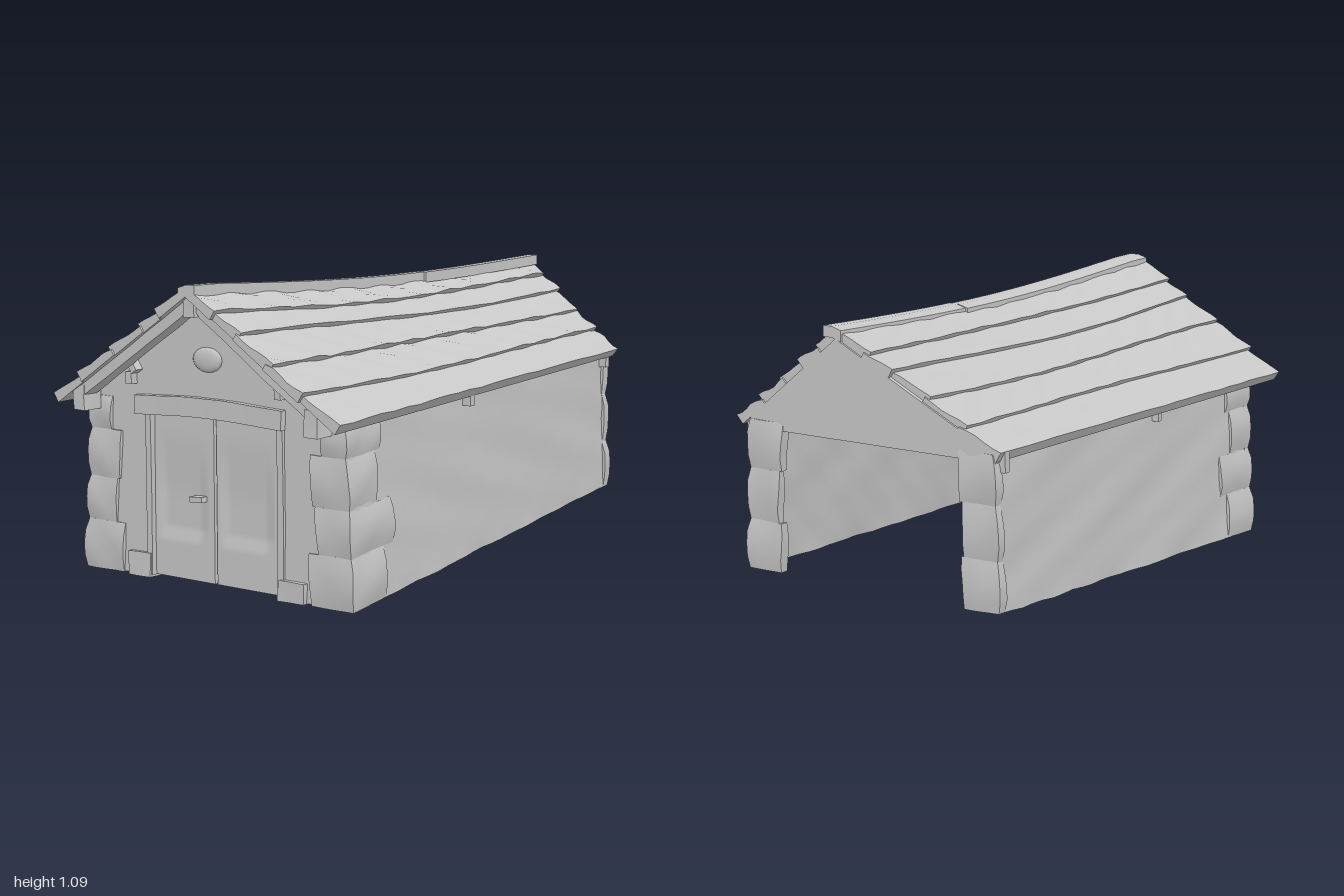
import * as THREE from 'three';

const stone = new THREE.MeshStandardMaterial({ color: 0xc8c8c8 });
stone.name = 'pale grey';

const lerp = (a, b, t) => a + (b - a) * t;
const back = z => (0.88 - z) / 1.87; // 0 at the front, 1 at the back
const wave = (a, b, c) => Math.sin(a * 17 + b * 9 + 1) * Math.sin(b * 23 - c * 8) + 0.6 * Math.sin(c * 29 + a * 13 + b * 31);

// Outline rules for the leaning, tapering building
const baseY = z => lerp(0.01, 0.17, back(z));
const topY = z => lerp(0.67, 0.73, back(z));
const outerX = (s, v, z) => s > 0
  ? lerp(lerp(0.635, 0.595, v), lerp(0.55, 0.53, v), back(z))
  : -lerp(lerp(0.605, 0.565, v), lerp(0.51, 0.49, v), back(z));

// Point on a roof slope: a = 0 at the ridge, 1 at the eave, lifted off the deck
function roofPoint(s, a, z, lift) {
  const t = back(z);
  const rx = lerp(0, 0.15, t), ry = 1.075 - 0.03 * Math.sin(Math.PI * Math.min(1, Math.max(0, t)));
  const ex = s > 0 ? lerp(0.635, 0.575, t) : -lerp(0.645, 0.505, t);
  const ey = lerp(0.65, 0.715, t);
  const dx = ex - rx, dy = ey - ry, len = Math.hypot(dx, dy);
  return new THREE.Vector3(rx + dx * a - s * dy / len * lift, ry + dy * a + s * dx / len * lift, z);
}

// Subdivided box whose unit coordinates (u, v, w) are mapped by a rule
function warpBox(parent, name, [nx, ny, nz], rule, rough = 0) {
  const g = new THREE.BoxGeometry(1, 1, 1, nx, ny, nz);
  const p = g.attributes.position, idx = g.index;
  for (let i = 0; i < p.count; i++) {
    const q = rule(p.getX(i) + 0.5, p.getY(i) + 0.5, p.getZ(i) + 0.5);
    const { x, y, z } = q;
    p.setXYZ(i, x + rough * wave(x, y, z), y + rough * 0.5 * wave(y, z, x), z + rough * wave(z, x, y));
  }
  // turn the faces outward if the rule mirrored the box
  let vol = 0;
  const a = new THREE.Vector3(), b = new THREE.Vector3(), c = new THREE.Vector3();
  for (let i = 0; i < idx.count; i += 3) {
    [a, b, c].forEach((vec, k) => vec.fromBufferAttribute(p, idx.getX(i + k)));
    vol += a.dot(b.cross(c));
  }
  if (vol < 0) for (let i = 0; i < idx.count; i += 3) {
    const k = idx.getX(i);
    idx.setX(i, idx.getX(i + 1));
    idx.setX(i + 1, k);
  }
  g.computeVertexNormals();
  const mesh = new THREE.Mesh(g, stone);
  mesh.name = name;
  parent.add(mesh);
  return mesh;
}

// Plain block given by its limits
function block(parent, name, x0, x1, y0, y1, z0, z1, rough = 0.003) {
  return warpBox(parent, name, [2, 2, 2], (u, v, w) =>
    new THREE.Vector3(lerp(x0, x1, u), lerp(y0, y1, v), lerp(z0, z1, w)), rough);
}

function plate(parent, name, points, depth, z) {
  const shape = new THREE.Shape(points.map(([x, y]) => new THREE.Vector2(x, y)));
  const mesh = new THREE.Mesh(new THREE.ExtrudeGeometry(shape, { depth, bevelEnabled: false }), stone);
  mesh.name = name;
  mesh.position.z = z;
  parent.add(mesh);
}

export function createModel() {
  const model = new THREE.Group();
  model.name = 'stoneBarn';
  const group = name => {
    const g = new THREE.Group();
    g.name = name;
    model.add(g);
    return g;
  };
  const walls = group('walls'), roof = group('roof'), timbers = group('timbers'), doors = group('doors');

  for (const s of [-1, 1]) {
    // Long side wall, its foot climbing toward the back
    warpBox(walls, 'sideWall', [1, 10, 28], (u, v, w) => {
      const z = lerp(-0.97, 0.86, w);
      return new THREE.Vector3(outerX(s, v, z) - s * 0.025 * u, lerp(baseY(z), topY(z), v), z);
    }, 0.004);

    // Corner stones at the front and the thin piers at the open back
    const stack = (name, z0, z1, cuts, widths, depths, dir) => widths.forEach((width, i) => {
      warpBox(walls, name, [4, 4, 4], (u, v, w) => {
        const z = z0 + dir * depths[i] * w;
        const h = lerp(cuts[i], cuts[i + 1], v);
        const bulge = 0.012 * Math.sin(Math.PI * v) ** 0.5;
        const x = outerX(s, h, z) + s * bulge * (1 - u) - s * width * u;
        return new THREE.Vector3(x, lerp(baseY(z), topY(z), h), z + (1 - w) * -dir * bulge * 0.7);
      }, 0.003);
    });
    stack('frontCornerStone', 0.872, 0, [0, 0.28, 0.53, 0.8, 0.99], [0.18, 0.14, 0.15, 0.1], [0.2, 0.26, 0.17, 0.2], -1);
    stack('backPierStone', -0.985, 0, [0, 0.33, 0.68, 1], [0.14, 0.13, 0.14], [0.035, 0.03, 0.035], 1);

    // Overlapping roof planks along the length
    const cuts = [0, 0.17, 0.33, 0.54, 0.76, 1];
    for (let i = 0; i < 5; i++) {
      const z1 = 0.985 - 0.007 * ((i * 2) % 3), z0 = -0.985 + 0.008 * ((i * 2 + 1) % 3);
      warpBox(roof, 'roofPlank', [5, 1, 24], (u, v, w) => {
        const z = lerp(z0, z1, w);
        const low = cuts[i + 1] + (i < 4 ? 0.02 + 0.012 * Math.sin(z * 3 + i * 2 + s) : 0);
        const a = lerp(cuts[i], low, u);
        const bump = (s > 0 ? 0.005 : 0.003) * wave(a * 2, z, i);
        return roofPoint(s, a, z, lerp(-0.012, 0.012 + 0.016 * u + bump, v));
      });
    }

    // Front rake board with its square tail
    warpBox(timbers, 'rakeBoard', [8, 1, 1], (u, v, w) => {
      const q = roofPoint(s, lerp(0, 0.88, u), 0.9 + 0.06 * w, lerp(-0.05, -0.008, v));
      if (u === 0) q.x = 0;
      return q;
    }, 0.002);
    const tail = s > 0 ? 0.525 : -0.545;
    block(timbers, 'rafterTail', tail - 0.028, tail + 0.028, 0.615, 0.71, 0.88, 0.965);

    // Purlins under the slope, poking through the front gable
    for (const a of [0.3, 0.56, 0.85]) {
      warpBox(timbers, 'purlin', [1, 1, 12], (u, v, w) =>
        roofPoint(s, a + 0.035 * u, lerp(-0.96, a === 0.56 ? 0.9 : 0.86, w), lerp(-0.075, -0.035, v)));
    }
    // Rafters
    for (const z of [-0.65, -0.3, 0.1, 0.5]) {
      warpBox(timbers, 'rafter', [4, 1, 1], (u, v, w) =>
        roofPoint(s, lerp(0.03, 0.93, u), z + 0.03 * w, lerp(-0.04, -0.01, v)));
    }
    // Beam ends showing below the eaves
    for (const z of [0.1, -0.945]) {
      const x = outerX(s, 1, z), y = topY(z);
      block(timbers, 'beamEnd', x - 0.03, x + 0.035, y - 0.065, y + 0.01, z - 0.014, z + 0.014, 0.001);
    }
    // Stub under the gable slope
    const px = s > 0 ? 0.33 : -0.36;
    block(timbers, 'purlinStub', px - 0.014, px + 0.014, 0.72, 0.765, 0.86, 0.9, 0.001);
  }

  // Ridge cap, stepping partway along
  for (const [z0, z1, x] of [[-0.985, -0.26, 0.022], [-0.27, 0.985, 0.012]]) {
    warpBox(roof, 'ridgeCap', [2, 1, 10], (u, v, w) => {
      const z = lerp(z0, z1, w);
      const q = roofPoint(-1, 0, z, 0);
      q.x += x + lerp(-0.045, 0.03, u);
      q.y += lerp(-0.012, 0.028, v) - (u === 0 ? 0.012 : 0);
      return q;
    });
  }
  block(timbers, 'ridgeBeamEnd', -0.03, 0.02, 0.99, 1.06, 0.86, 0.97);

  // Front gable wall around the doorway
  plate(walls, 'frontWall', [[-0.6, 0.015], [-0.29, 0.015], [-0.29, 0.64], [0.33, 0.64], [0.33, 0.015],
    [0.63, 0.015], [0.595, 0.66], [0.0, 1.06], [-0.565, 0.66]], 0.03, 0.837);
  const boss = new THREE.Mesh(new THREE.SphereGeometry(1, 12, 8), stone);
  boss.name = 'gableStone';
  boss.scale.set(0.068, 0.045, 0.014);
  boss.position.set(-0.01, 0.83, 0.867);
  walls.add(boss);

  // Back gable above the open end
  plate(walls, 'backGable', [[-0.5, 0.7], [0.54, 0.7], [0.53, 0.74], [0.15, 1.06], [-0.47, 0.74]], 0.02, -0.985);

  // Door frame, lintel and foot stones
  warpBox(doors, 'lintel', [10, 2, 2], (u, v, w) => new THREE.Vector3(
    lerp(-0.34, 0.34, u), lerp(0.612, 0.682, v) + 0.012 * Math.sin(Math.PI * u), lerp(0.83, 0.893, w)), 0.002);
  block(doors, 'leftJamb', 0.31, 0.336, 0.02, 0.62, 0.83, 0.878, 0.002);
  block(doors, 'rightJamb', -0.3, -0.275, 0.02, 0.62, 0.83, 0.878, 0.002);
  block(doors, 'rightFootStone', -0.385, -0.28, 0.012, 0.1, 0.79, 0.886);
  block(doors, 'leftFootStone', 0.315, 0.43, 0.012, 0.085, 0.79, 0.886);

  // Two door leaves, each with bulged panels
  for (const [name, x0, x1] of [['rightDoor', -0.277, 0.006], ['leftDoor', 0.018, 0.312]]) {
    warpBox(doors, name, [14, 24, 1], (u, v, w) => {
      const panel = v > 0.28 && v < 0.87 && u > 0.12 && u < 0.82;
      const raised = panel ? -0.01 * Math.min(1, (0.87 - v) * 3) : 0;
      return new THREE.Vector3(lerp(x0, x1, u), lerp(0.022, 0.618, v), 0.832 + w * (0.024 + raised));
    });
  }
  const latch = block(doors, 'latch', -0.07, -0.012, 0.318, 0.338, 0.85, 0.885, 0.001);
  latch.rotation.z = 0.05;

  return model;
}
